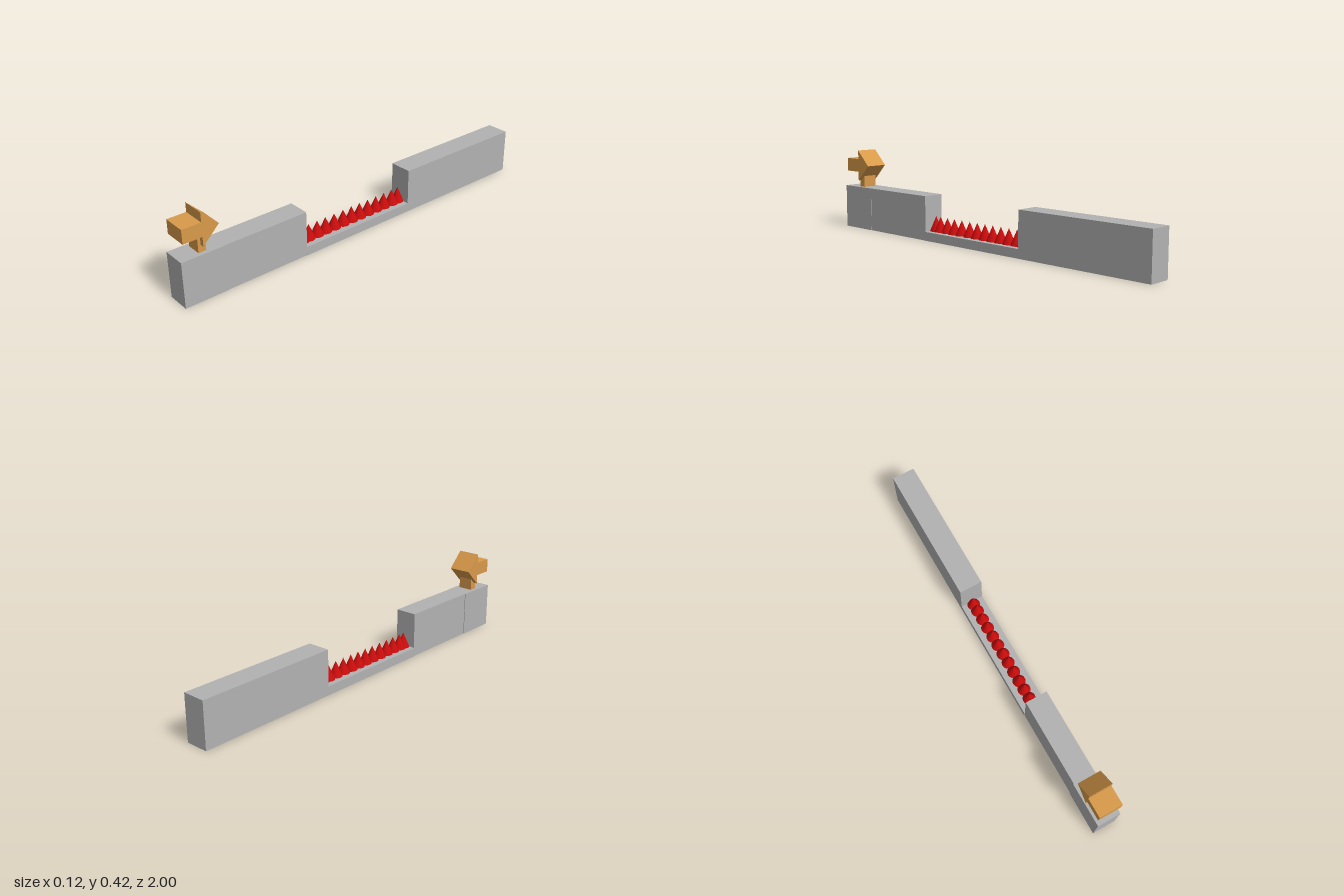
import * as THREE from 'three';

const stone = new THREE.MeshStandardMaterial({ color: 0xb2b2b2 });
stone.name = 'stone grey';
const wood = new THREE.MeshStandardMaterial({ color: 0xd89a4a });
wood.name = 'wood orange';
const red = new THREE.MeshStandardMaterial({ color: 0xcc0c0c });
red.name = 'spike red';

export function createModel() {
  const model = new THREE.Group();
  model.name = 'spikePit';

  const add = (name, geometry, material, x = 0, y = 0, z = 0, parent = model) => {
    const mesh = new THREE.Mesh(geometry, material);
    mesh.name = name;
    mesh.position.set(x, y, z);
    parent.add(mesh);
    return mesh;
  };

  // Box given by its extents along x, y and z
  const box = (name, material, [x0, x1], [y0, y1], [z0, z1], parent = model) =>
    add(name, new THREE.BoxGeometry(x1 - x0, y1 - y0, z1 - z0), material,
      (x0 + x1) / 2, (y0 + y1) / 2, (z0 + z1) / 2, parent);

  // Platforms on either side of the pit, and its floor
  const W = 0.058, H = 0.226, FLOOR = 0.045;
  box('startPlatform', stone, [-W, W], [0, H], [0.787, 1]);
  box('frontPlatform', stone, [-0.055, 0.056], [0, H], [0.353, 0.787]);
  box('backPlatform', stone, [-W, W], [0, H], [-1, -0.28]);
  box('pitFloor', stone, [-W, W], [0, FLOOR], [-0.28, 0.353]);

  // Row of spikes
  const spikes = new THREE.Group();
  spikes.name = 'spikes';
  model.add(spikes);
  const cone = new THREE.ConeGeometry(0.032, 0.076, 32);
  [0.333, 0.3, 0.25, 0.2, 0.147, 0.092, 0.04, -0.012, -0.064, -0.117, -0.169, -0.221, -0.262]
    .forEach((z) => add('spike', cone, red, 0, FLOOR + 0.038, z, spikes));

  // Signpost: an arrow pointing across the pit, on a short post
  const sign = new THREE.Group();
  sign.name = 'arrowSign';
  model.add(sign);
  box('signPost', wood, [-0.037, 0.037], [H, 0.309], [0.866, 0.904], sign);
  const outline = new THREE.Shape([
    [0.984, 0.308], [0.984, 0.377], [0.89, 0.377], [0.89, 0.423],
    [0.807, 0.343], [0.89, 0.261], [0.89, 0.308],
  ].map(([z, y]) => new THREE.Vector2(z, y)));
  const arrow = new THREE.ExtrudeGeometry(outline, { depth: 2 * W, bevelEnabled: false });
  arrow.translate(0, 0, -W).rotateY(-Math.PI / 2);
  add('arrow', arrow, wood, 0, 0, 0, sign);

  return model;
}
